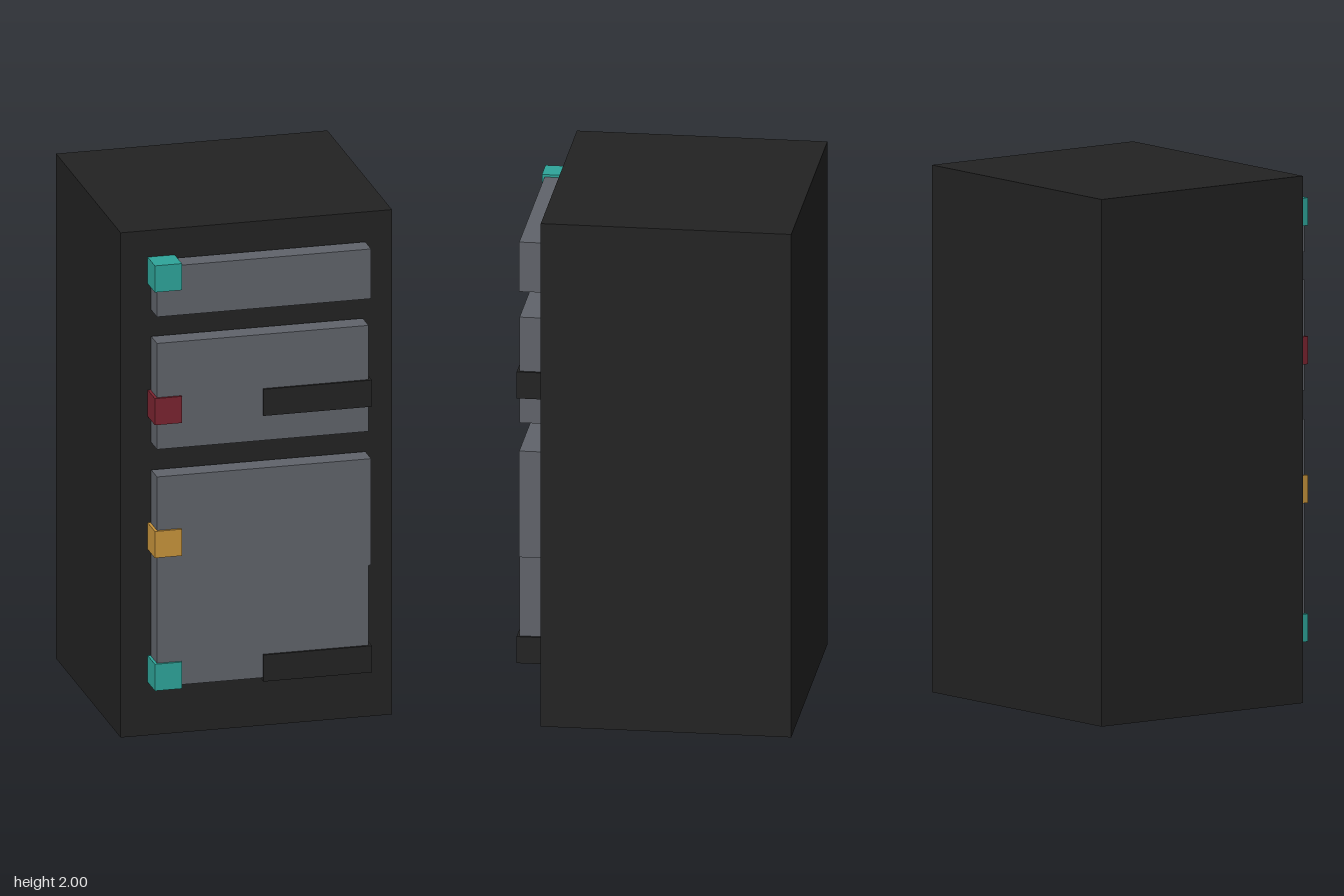
import * as THREE from 'three';

const mat = (name, color, side = THREE.FrontSide) => {
  const m = new THREE.MeshStandardMaterial({ color, side });
  m.name = name;
  return m;
};

export function createModel() {
  const group = new THREE.Group();
  group.name = 'cabinet';
  const black = mat('black', 0x222222, THREE.DoubleSide);
  const grey = mat('grey', 0x60636a);
  const teal = mat('teal', 0x2ea59a);
  const red = mat('darkRed', 0x7a2430);
  const amber = mat('amber', 0xc8943c);

  // Box given by its lower and upper corners
  const box = (name, material, [x0, y0, z0], [x1, y1, z1]) => {
    const geometry = new THREE.BoxGeometry(x1 - x0, y1 - y0, z1 - z0);
    const mesh = new THREE.Mesh(geometry, material);
    mesh.position.set((x0 + x1) / 2, (y0 + y1) / 2, (z0 + z1) / 2);
    mesh.name = name;
    group.add(mesh);
    return mesh;
  };

  // Body shell, open underneath: drop the bottom face (fourth group of six indices)
  const body = box('body', black, [-0.526, 0, -0.526], [0.526, 2, 0.421]);
  const index = Array.from(body.geometry.index.array);
  index.splice(18, 6);
  body.geometry.setIndex(index);
  body.geometry.clearGroups();

  // Raised front panels; the bottom one has a small step in its side
  const panels = [
    ['topPanel', 1.688, 1.885, 0.42],
    ['middlePanel', 1.163, 1.583, 0.41],
    ['bottomPanelUpper', 0.632, 1.054, 0.42],
    ['bottomPanelLower', 0.223, 0.632, 0.41],
  ];
  for (const [name, y0, y1, x1] of panels) {
    box(name, grey, [-0.41, y0, 0.431], [x1, y1, 0.516]);
  }

  // Dark slots and coloured indicator lamps, one grid unit high
  const unit = 2 / 19;
  for (const row of [2, 12]) {
    box('slot', black, [0, row * unit, 0.421], [0.421, (row + 1) * unit, 0.526]);
  }
  for (const [row, material] of [[2, teal], [7, amber], [12, red], [17, teal]]) {
    box('lamp', material, [-0.421, row * unit, 0.421], [-0.316, (row + 1) * unit, 0.526]);
  }
  return group;
}
